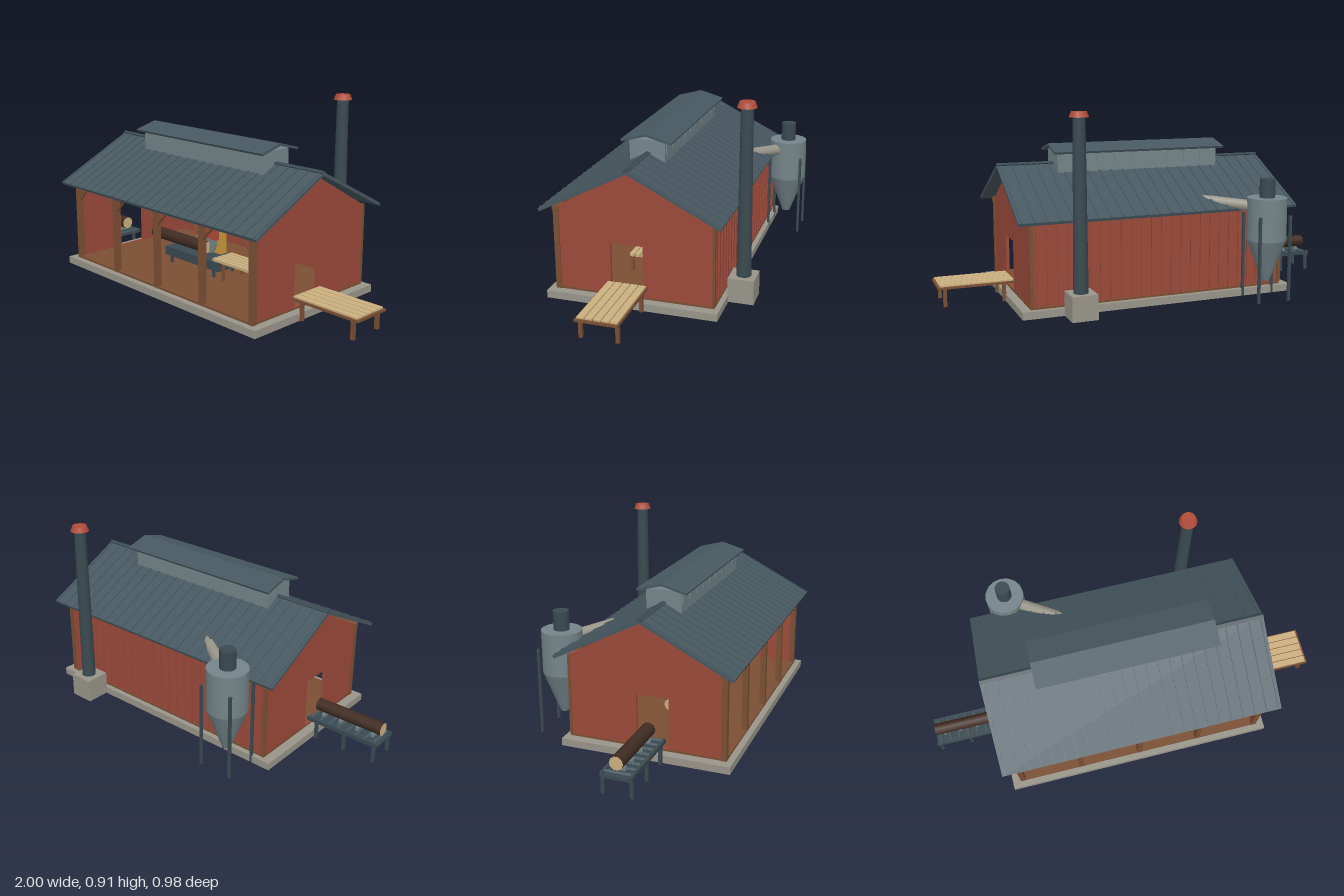
import * as THREE from 'three';

const mat = (name, color) => {
  const m = new THREE.MeshStandardMaterial({ color });
  m.name = name;
  return m;
};

export function createModel() {
  const root = new THREE.Group();
  root.name = 'sawmill';
  const slate = mat('roof slate', 0x475860), steel = mat('dark steel', 0x3a4a51);
  const red = mat('red boards', 0x9c4a3b), capRed = mat('cap red', 0xb04c3a);
  const brown = mat('brown timber', 0x7b4f33), tan = mat('fresh lumber', 0xcbb080);
  const yellow = mat('machine yellow', 0xc8993a), bark = mat('bark', 0x402c22);
  const concrete = mat('concrete', 0x99958a), zinc = mat('galvanised metal', 0x74858a);

  const add = (name, geo, material, parent = root) => {
    const m = new THREE.Mesh(geo, material);
    m.name = name;
    parent.add(m);
    return m;
  };
  const group = (name) => {
    const g = new THREE.Group();
    g.name = name;
    root.add(g);
    return g;
  };
  // box given by its extents on each axis
  const box = (name, x0, x1, y0, y1, z0, z1, material, parent) => {
    const g = new THREE.BoxGeometry(x1 - x0, y1 - y0, z1 - z0);
    g.translate((x0 + x1) / 2, (y0 + y1) / 2, (z0 + z1) / 2);
    return add(name, g, material, parent);
  };
  // faceted cylinder from point a to point b
  const rod = (name, a, b, ra, rb, sides, material, parent) => {
    const va = new THREE.Vector3(...a), vb = new THREE.Vector3(...b);
    const d = vb.clone().sub(va);
    const g = new THREE.CylinderGeometry(rb, ra, d.length(), sides);
    const m = add(name, g, material, parent);
    m.position.copy(va).add(vb).multiplyScalar(0.5);
    m.quaternion.setFromUnitVectors(new THREE.Vector3(0, 1, 0), d.normalize());
    return m;
  };
  // (z, y) outline extruded along x, with an optional hole
  const prism = (name, pts, x0, x1, material, parent, hole) => {
    const toV = (p) => new THREE.Vector2(p[0], p[1]);
    const s = new THREE.Shape(pts.map(toV));
    if (hole) s.holes.push(new THREE.Path(hole.map(toV)));
    const g = new THREE.ExtrudeGeometry(s, { depth: x1 - x0, bevelEnabled: false });
    g.rotateY(-Math.PI / 2).translate(x1, 0, 0);
    return add(name, g, material, parent);
  };
  const ZC = 0.075; // ridge line
  // symmetric pitched sheet
  const chevron = (name, x0, x1, ridge, half, eave, t, material, parent) => prism(name, [
    [ZC, ridge], [ZC - half, eave], [ZC - half + 0.005, eave - t], [ZC, ridge - t - 0.002],
    [ZC + half - 0.005, eave - t], [ZC + half, eave]], x0, x1, material, parent);

  // foundation and floor
  box('foundation', -0.665, 0.685, 0, 0.035, -0.32, 0.475, concrete);
  box('floor', -0.62, 0.642, 0.035, 0.045, -0.296, 0.445, brown);

  // walls
  const walls = group('walls');
  const gable = [[0.44, 0.045], [0.44, 0.425], [ZC, 0.63], [-0.29, 0.425], [-0.29, 0.045]];
  const door = [[0.03, 0.046], [0.03, 0.285], [0.18, 0.285], [0.18, 0.046]];
  prism('leftGable', gable, 0.625, 0.64, red, walls, door);
  prism('rightGable', gable, -0.62, -0.605, red, walls, door);
  box('backWall', -0.606, 0.626, 0.045, 0.428, -0.29, -0.276, red, walls);
  for (let i = 0; i < 25; i++) {
    const x = -0.59 + i * 0.05;
    box('batten', x - 0.005, x + 0.005, 0.045, 0.425, -0.298, -0.29, red, walls);
  }
  for (const x of [-0.615, 0.635])
    box('backCornerPost', x - 0.009, x + 0.009, 0.045, 0.428, -0.298, -0.286, brown, walls);

  // open front: posts, header and knee braces
  const frame = group('frontFrame');
  box('header', -0.625, 0.648, 0.41, 0.436, 0.418, 0.448, brown, frame);
  for (let i = 0; i < 5; i++) {
    const x = -0.61 + i * 0.3105;
    box('post', x - 0.013, x + 0.013, 0.035, 0.412, 0.42, 0.446, brown, frame);
    for (const s of [-1, 1]) {
      if ((i === 0 && s < 0) || (i === 4 && s > 0)) continue;
      rod('kneeBrace', [x + s * 0.008, 0.345, 0.433], [x + s * 0.075, 0.414, 0.433], 0.007, 0.007, 4, brown, frame);
    }
  }

  // main roof with standing seams
  const roof = group('roof');
  chevron('roofSheet', -0.68, 0.7, 0.645, 0.415, 0.435, 0.013, slate, roof);
  for (let i = 0; i < 24; i++) {
    const x = -0.665 + i * 0.0587;
    chevron('seam', x - 0.003, x + 0.003, 0.65, 0.414, 0.44, 0.007, slate, roof);
  }
  chevron('ridgeCap', -0.68, 0.7, 0.652, 0.015, 0.644, 0.006, steel, roof);

  // ridge ventilator
  const vent = group('ridgeVent');
  box('ventBody', -0.405, 0.425, 0.6, 0.703, -0.006, 0.16, zinc, vent);
  for (let i = 0; i < 9; i++) {
    const x = -0.395 + i * 0.091;
    for (const z of [-0.012, 0.16]) box('louvre', x, x + 0.08, 0.643, 0.69, z, z + 0.006, zinc, vent);
  }
  chevron('ventRoof', -0.43, 0.45, 0.737, 0.12, 0.704, 0.01, slate, vent);

  // chimney
  const chimney = group('chimney');
  box('chimneyBase', 0.373, 0.493, 0, 0.115, -0.435, -0.315, concrete, chimney);
  rod('chimneyStack', [0.435, 0.115, -0.376], [0.435, 0.89, -0.376], 0.034, 0.028, 14, steel, chimney);
  rod('chimneyCap', [0.435, 0.888, -0.376], [0.435, 0.913, -0.376], 0.044, 0.034, 14, capRed, chimney);

  // dust cyclone
  const cyclone = group('cyclone');
  const cx = -0.485, cz = -0.395;
  rod('drum', [cx, 0.288, cz], [cx, 0.49, cz], 0.095, 0.095, 16, zinc, cyclone);
  rod('hopper', [cx, 0.09, cz], [cx, 0.288, cz], 0.02, 0.095, 16, zinc, cyclone);
  rod('outlet', [cx, 0.49, cz], [cx, 0.58, cz], 0.037, 0.037, 14, steel, cyclone);
  rod('duct', [-0.43, 0.445, -0.36], [-0.2, 0.468, -0.2], 0.028, 0.028, 10, concrete, cyclone);
  for (const sx of [-1, 1]) for (const sz of [-1, 1])
    box('cycloneLeg', cx + sx * 0.08 - 0.006, cx + sx * 0.08 + 0.006, 0, 0.41,
      cz + sz * 0.08 - 0.006, cz + sz * 0.08 + 0.006, steel, cyclone);

  // log infeed deck
  const log = (name, x0, x1, y, z, r, parent) =>
    rod(name, [x0, y, z], [x1, y, z], r, r, 10, [bark, tan, tan], parent);
  const infeed = group('logDeck');
  for (const z of [0.03, 0.158]) box('deckRail', -1, -0.63, 0.082, 0.1, z, z + 0.014, steel, infeed);
  box('deckBed', -0.998, -0.63, 0.083, 0.09, 0.04, 0.16, steel, infeed);
  for (let i = 0; i < 8; i++) {
    const x = -0.975 + i * 0.047;
    rod('roller', [x, 0.095, 0.042], [x, 0.095, 0.16], 0.009, 0.009, 8, slate, infeed);
  }
  for (const x of [-0.95, -0.87, -0.78, -0.69])
    box('logBunk', x - 0.007, x + 0.007, 0.1, 0.117, 0.075, 0.125, zinc, infeed);
  for (const x of [-0.985, -0.83, -0.68]) {
    for (const z of [0.037, 0.165])
      box('deckLeg', x - 0.007, x + 0.007, 0, 0.084, z - 0.007, z + 0.007, steel, infeed);
    box('crossTie', x - 0.005, x + 0.005, 0.07, 0.084, 0.04, 0.16, steel, infeed);
  }
  log('waitingLog', -0.99, -0.65, 0.145, 0.1, 0.031, infeed);

  // saw carriage, blade and lumber table inside
  const saw = group('saw');
  box('carriage', -0.24, 0.15, 0.08, 0.125, 0.03, 0.175, steel, saw);
  for (const x of [-0.2, 0.11]) for (const z of [0.04, 0.165])
    box('carriageLeg', x - 0.006, x + 0.006, 0.045, 0.08, z - 0.006, z + 0.006, steel, saw);
  log('sawnLog', -0.4, 0, 0.155, 0.105, 0.03, saw);
  box('sawCabinet', -0.11, 0.06, 0.125, 0.264, 0.032, 0.074, yellow, saw);
  rod('blade', [-0.025, 0.19, 0.087], [-0.025, 0.19, 0.092], 0.075, 0.075, 24, zinc, saw);
  box('bladeGuard', -0.108, 0.056, 0.2, 0.255, 0.08, 0.1, capRed, saw);
  for (let i = 0; i < 5; i++)
    box('lumberBoard', 0.11, 0.42, 0.128, 0.142, 0.045 + i * 0.027, 0.066 + i * 0.027, tan, saw);
  for (const x of [0.18, 0.39]) {
    box('lumberBearer', x - 0.008, x + 0.008, 0.118, 0.128, 0.045, 0.174, brown, saw);
    for (const z of [0.042, 0.17])
      box('bearerLeg', x - 0.006, x + 0.006, 0.045, 0.119, z - 0.006, z + 0.006, brown, saw);
  }

  // outfeed table
  const outfeed = group('outfeedTable');
  box('tableFrame', 0.64, 1, 0.085, 0.096, 0.008, 0.2, brown, outfeed);
  for (let i = 0; i < 5; i++) {
    const z = 0.014 + i * 0.0368;
    box('tableBoard', 0.645, 0.99, 0.096, 0.103, z, z + 0.032, tan, outfeed);
  }
  for (const x of [0.69, 0.967]) for (const z of [0.022, 0.186])
    box('tableLeg', x - 0.008, x + 0.008, 0, 0.086, z - 0.008, z + 0.008, brown, outfeed);

  return root;
}
